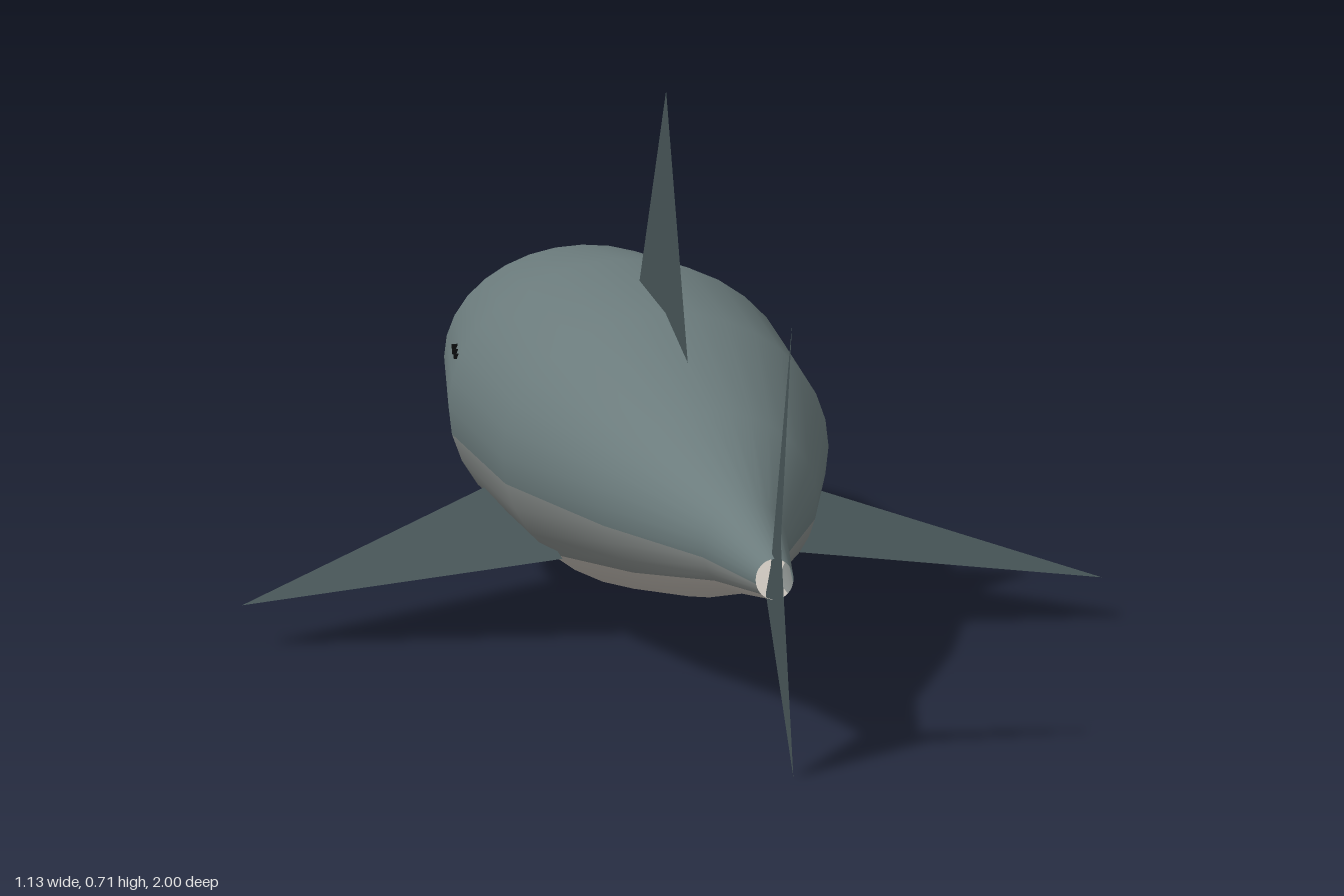
import * as THREE from 'three';

const SIDES = 32;
// Body cross-sections from nose to tail: z, half width, bottom y, top y
const SECTIONS = [
  [-1.0, 0.009, 0.218, 0.236],
  [-0.885, 0.095, 0.163, 0.294],
  [-0.685, 0.182, 0.088, 0.373],
  [-0.365, 0.229, 0.041, 0.417],
  [-0.02, 0.215, 0.046, 0.414],
  [0.33, 0.142, 0.106, 0.353],
  [0.615, 0.056, 0.168, 0.29],
  [0.85, 0.025, 0.206, 0.26],
];

function material(color) {
  return new THREE.MeshStandardMaterial({ color, side: THREE.DoubleSide });
}

// Lofted body, open at both ends, split into strips by height on the ring
function makeBody() {
  const positions = [];
  for (const [z, w, bottom, top] of SECTIONS) {
    for (let j = 0; j < SIDES; j++) {
      const a = (j / SIDES) * Math.PI * 2;
      positions.push(w * Math.cos(a), (top + bottom) / 2 + ((top - bottom) / 2) * Math.sin(a), z);
    }
  }
  const strips = { back: [], flanks: [], belly: [] };
  const all = [];
  for (let i = 0; i < SECTIONS.length - 1; i++) {
    for (let j = 0; j < SIDES; j++) {
      const k = (j + 1) % SIDES;
      const a = i * SIDES + j, b = i * SIDES + k;
      const quad = [a, b, a + SIDES, b, b + SIDES, a + SIDES];
      const height = Math.sin(((j + 0.5) / SIDES) * Math.PI * 2);
      const strip = height > -0.2 ? 'back' : height > -0.75 ? 'flanks' : 'belly';
      strips[strip].push(...quad);
      all.push(...quad);
    }
  }
  const whole = new THREE.BufferGeometry();
  whole.setAttribute('position', new THREE.Float32BufferAttribute(positions, 3));
  whole.setIndex(all);
  whole.computeVertexNormals(); // shared normals keep the strips smooth where they meet

  const body = new THREE.Group();
  body.name = 'body';
  const colors = { back: 0x6b7b7c, flanks: 0x878c8a, belly: 0xc4beb6 };
  for (const name in strips) {
    const mesh = new THREE.Mesh(whole.clone().setIndex(strips[name]), material(colors[name]));
    mesh.name = name;
    body.add(mesh);
  }
  return body;
}

// Flat fin standing in the x = 0 plane, from an outline of [z, y] points
function uprightFin(name, outline, mat) {
  const shape = new THREE.Shape(outline.map(([z, y]) => new THREE.Vector2(-z, y)));
  const mesh = new THREE.Mesh(new THREE.ShapeGeometry(shape).rotateY(Math.PI / 2), mat);
  mesh.name = name;
  return mesh;
}

export function createModel() {
  const model = new THREE.Group();
  model.name = 'shark';
  model.add(makeBody());

  // Upright fins
  const finMat = material(0x465456);
  model.add(uprightFin('dorsalFin', [[0.165, 0.37], [-0.26, 0.37], [-0.015, 0.71]], finMat));
  model.add(uprightFin('tailFin',
    [[0.99, 0.6], [0.9, 0.292], [1.0, 0], [0.78, 0.2], [0.82, 0.245]], finMat));

  const dark = material(0x0c0e0f);
  for (const side of [1, -1]) {
    const label = side > 0 ? 'left' : 'right';

    // Pectoral fin: a single swept triangle
    const geo = new THREE.BufferGeometry().setFromPoints([
      new THREE.Vector3(side * 0.16, 0.143, -0.32),
      new THREE.Vector3(side * 0.15, 0.11, 0.067),
      new THREE.Vector3(side * 0.567, 0.055, 0.032),
    ]);
    geo.setIndex(side > 0 ? [0, 1, 2] : [0, 2, 1]);
    geo.computeVertexNormals();
    const fin = new THREE.Mesh(geo, finMat);
    fin.name = label + 'PectoralFin';
    model.add(fin);

    // Eye
    const eye = new THREE.Mesh(new THREE.SphereGeometry(0.012, 16, 12), dark);
    eye.position.set(side * 0.13, 0.262, -0.787);
    eye.name = label + 'Eye';
    model.add(eye);

    // Gill marks just breaking the surface
    [[0.209, -0.405], [0.206, -0.437], [0.201, -0.47]].forEach(([x, z], i) => {
      const gill = new THREE.Mesh(new THREE.BoxGeometry(0.012, 0.006, 0.006), dark);
      gill.position.set(side * x, 0.287, z);
      gill.name = label + 'Gill' + (i + 1);
      model.add(gill);
    });
  }
  return model;
}
